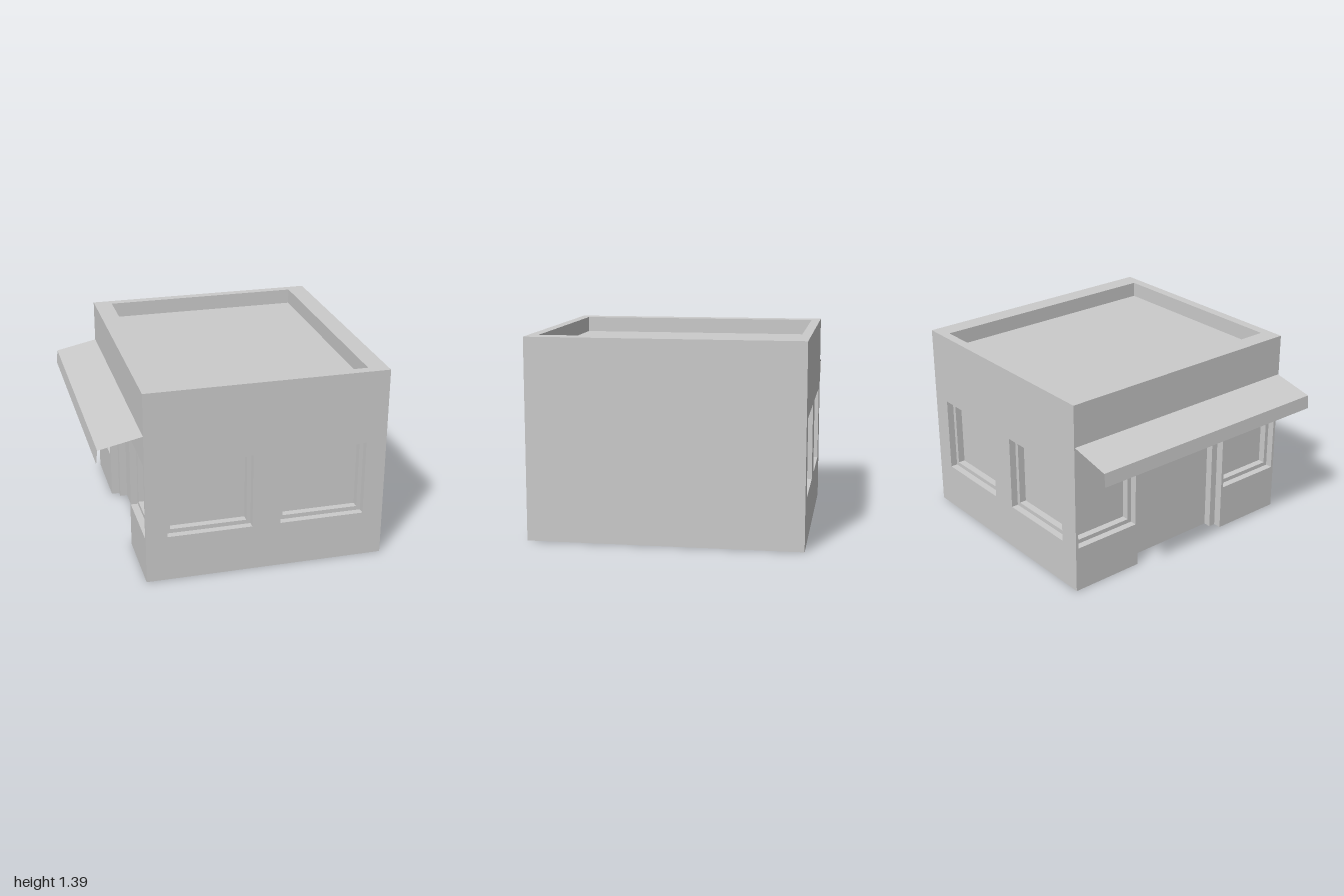
import * as THREE from 'three';

const material = new THREE.MeshStandardMaterial({ color: 0xcccccc, flatShading: true, side: THREE.DoubleSide });

function mesh(name, geometry) {
  const m = new THREE.Mesh(geometry, material);
  m.name = name;
  return m;
}

// Corners of a rectangle at a given depth, counter-clockwise
const rect = ([x0, x1, y0, y1], z) => [[x0, y0, z], [x1, y0, z], [x1, y1, z], [x0, y1, z]];

// Stepped recess: joins each rectangle to the next and closes the last one
function recess(name, loops, openBottom = false) {
  const pos = [];
  const quad = (a, b, c, d) => pos.push(...a, ...b, ...c, ...a, ...c, ...d);
  for (let k = 0; k + 1 < loops.length; k++) {
    for (let i = openBottom ? 1 : 0; i < 4; i++) {
      const j = (i + 1) % 4;
      quad(loops[k][i], loops[k][j], loops[k + 1][j], loops[k + 1][i]);
    }
  }
  quad(...loops[loops.length - 1]);
  const g = new THREE.BufferGeometry();
  g.setAttribute('position', new THREE.Float32BufferAttribute(pos, 3));
  g.computeVertexNormals();
  return mesh(name, g);
}

// Flat panel facing +z, cut by rectangular holes
function panel(name, outline, holes) {
  const toPath = (pts) => pts.map(([x, y]) => new THREE.Vector2(x, y));
  const shape = new THREE.Shape(toPath(outline));
  for (const h of holes) shape.holes.push(new THREE.Path(toPath(rect(h, 0)).reverse()));
  return mesh(name, new THREE.ShapeGeometry(shape));
}

const X0 = -0.69, X1 = 1, Z = 0.94, H = 1.39;
const STEP = 0.05;

function windowRecess([x0, x1, y0, y1]) {
  const outer = [x0, x1, y0, y1];
  const inner = [x0 + 0.03, x1 - 0.03, y0 + 0.03, y1 - 0.03];
  return recess('window', [rect(outer, 0), rect(outer, -STEP), rect(inner, -STEP), rect(inner, -2 * STEP)]);
}

// Wall with its windows, in its own plane
function wall(name, outline, windows) {
  const g = new THREE.Group();
  g.name = name;
  g.add(panel(name + 'Surface', outline, windows));
  for (const w of windows) g.add(windowRecess(w));
  return g;
}

export function createModel() {
  const model = new THREE.Group();
  model.name = 'shopBuilding';

  // Front and back walls, two windows each
  const windows = [[-0.54, 0.055, 0.33, 0.87], [0.255, 0.855, 0.33, 0.87]];
  const front = wall('frontWall', rect([X0, X1, 0, H], 0), windows);
  front.position.z = Z;
  const back = wall('backWall', rect([-X1, -X0, 0, H], 0), windows.map(([a, b, c, d]) => [-b, -a, c, d]));
  back.position.z = -Z;
  back.rotation.y = Math.PI;

  // Blank side wall
  const side = wall('blankWall', rect([-Z, Z, 0, H], 0), []);
  side.position.x = X1;
  side.rotation.y = Math.PI / 2;

  // Shop side: a window on each side of a recessed doorway
  const dw = 0.4, dh = 0.88;
  const shop = wall('shopWall',
    [[-Z, 0], [-dw, 0], [-dw, dh], [dw, dh], [dw, 0], [Z, 0], [Z, H], [-Z, H]],
    [[-0.92, -0.42, 0.33, 0.87], [0.42, 0.92, 0.33, 0.87]]);
  const outer = [-dw, dw, 0, dh], inner = [-dw + 0.05, dw - 0.05, 0, dh - 0.03];
  shop.add(recess('doorway',
    [rect(outer, 0), rect(outer, -0.057), rect(inner, -0.057), rect(inner, -0.11)], true));
  shop.position.x = X0;
  shop.rotation.y = -Math.PI / 2;

  // Roof: parapet rim around a sunken deck
  const roof = new THREE.Group();
  roof.name = 'roof';
  const deck = [-0.56, 0.865, -0.87, 0.875];
  roof.add(panel('parapetRim', rect([X0, X1, -Z, Z], 0), [deck]));
  roof.add(recess('roofDeck', [rect(deck, 0), rect(deck, -0.11)]));
  roof.position.y = H;
  roof.rotation.x = -Math.PI / 2;

  // Awning: thin sloping sheet with a short drop at its outer edge
  const awning = new THREE.Group();
  awning.name = 'awning';
  const profile = [[-0.57, 1.115], [-0.99, 1.025], [-1, 0.93]];
  for (let i = 0; i < 2; i++) {
    const [ax, ay] = profile[i], [bx, by] = profile[i + 1], z = 0.935;
    awning.add(recess(i ? 'awningDrop' : 'awningSlope',
      [[[ax, ay, -z], [bx, by, -z], [bx, by, z], [ax, ay, z]]]));
  }

  model.add(front, back, side, shop, roof, awning);
  return model;
}
